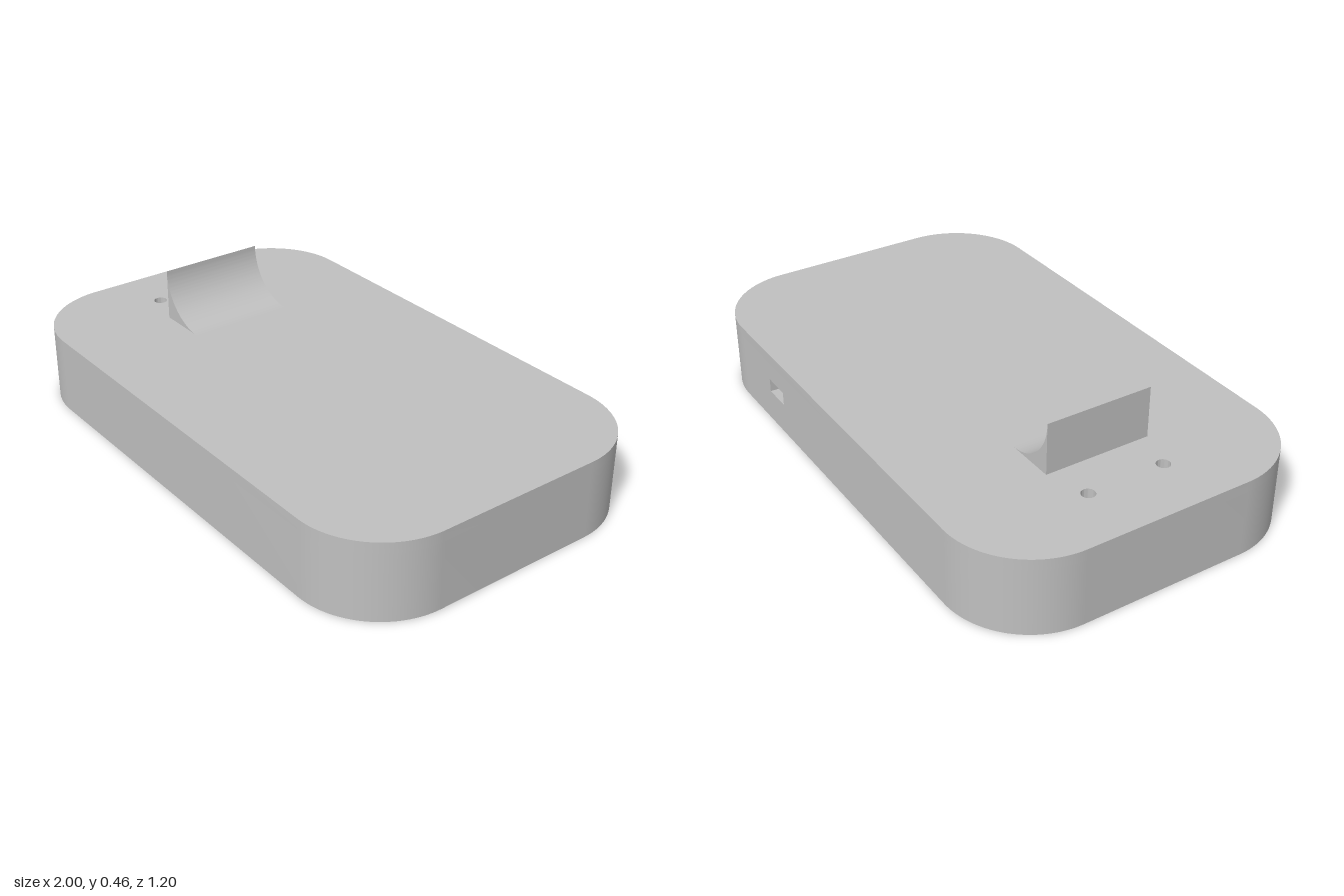
import * as THREE from 'three';
import { toCreasedNormals } from 'three/addons/utils/BufferGeometryUtils.js';

const HX = 0.7, HZ = 0.3, R = 0.3;        // corner centres and corner radius
const WALL = 0.03, CEIL = 0.24, TOP = 0.278;
const PI = Math.PI;

const extrude = (shape, depth) => toCreasedNormals(
  new THREE.ExtrudeGeometry(shape, { depth, bevelEnabled: false, curveSegments: 24 }), 0.5);

// extrude a plan outline (x, -z) upwards between two heights
const slab = (shape, y0, y1) => extrude(shape, y1 - y0).rotateX(-PI / 2).translate(0, y0, 0);

const circle = (x, y, r) => new THREE.Path().absarc(x, y, r, 0, 2 * PI, false);

// three-sided run of the rounded outline, from back left round the front to back right
function arcs(path, r, reverse) {
  const corners = [[-HX, HZ, 0.5], [-HX, -HZ, 1], [HX, -HZ, 1.5], [HX, HZ, 2]];
  if (reverse) corners.reverse();
  for (const [x, y, a] of corners) {
    const from = a * PI, to = (a + 0.5) * PI;
    path.absarc(x, y, r, reverse ? to : from, reverse ? from : to, reverse);
  }
  return path;
}

export function createModel() {
  const group = new THREE.Group();
  const grey = new THREE.MeshStandardMaterial({ color: 0xc0c0c0 });
  grey.name = 'grey plastic';
  const add = (name, geometry) => {
    const mesh = new THREE.Mesh(geometry, grey);
    mesh.name = name;
    group.add(mesh);
    return mesh;
  };

  // lid plate with two through holes
  const lid = arcs(new THREE.Shape(), R, false);
  lid.closePath();
  for (const s of [-1, 1]) lid.holes.push(circle(-0.786, s * 0.143, 0.024));
  add('topPlate', slab(lid, CEIL, TOP));

  // side wall, open at the straight back run
  const wall = arcs(new THREE.Shape(), R, false);
  arcs(wall, R - WALL, true);
  wall.closePath();
  add('sideWall', slab(wall, 0, CEIL));

  // back wall with the port slot
  const back = new THREE.Shape([[-HX, 0], [HX, 0], [HX, CEIL], [-HX, CEIL]]
    .map(([x, y]) => new THREE.Vector2(x, y)));
  back.holes.push(new THREE.Path([[0.38, 0.12], [0.38, 0.17], [0.487, 0.17], [0.487, 0.12]]
    .map(([x, y]) => new THREE.Vector2(x, y))));
  add('backWall', extrude(back, WALL).translate(0, 0, -HZ - R));

  // four hollow screw posts under the lid
  const ring = new THREE.Shape().absarc(0, 0, 0.05, 0, 2 * PI, false);
  ring.holes.push(circle(0, 0, 0.015));
  const post = slab(ring, 0.035, CEIL);
  for (const sx of [-1, 1]) for (const sz of [-1, 1])
    add('screwPost', post).position.set(sx * 0.688, 0, sz * 0.375);

  // upright rest with a concave quarter-round front
  const r = 0.185, x0 = -0.64;
  const rest = new THREE.Shape();
  rest.moveTo(x0, TOP);
  rest.lineTo(x0 + r, TOP);
  rest.absarc(x0 + r, TOP + r, r, 1.5 * PI, PI, true);
  rest.closePath();
  add('curvedRest', extrude(rest, 0.39).translate(0, 0, -0.195));

  return group;
}
